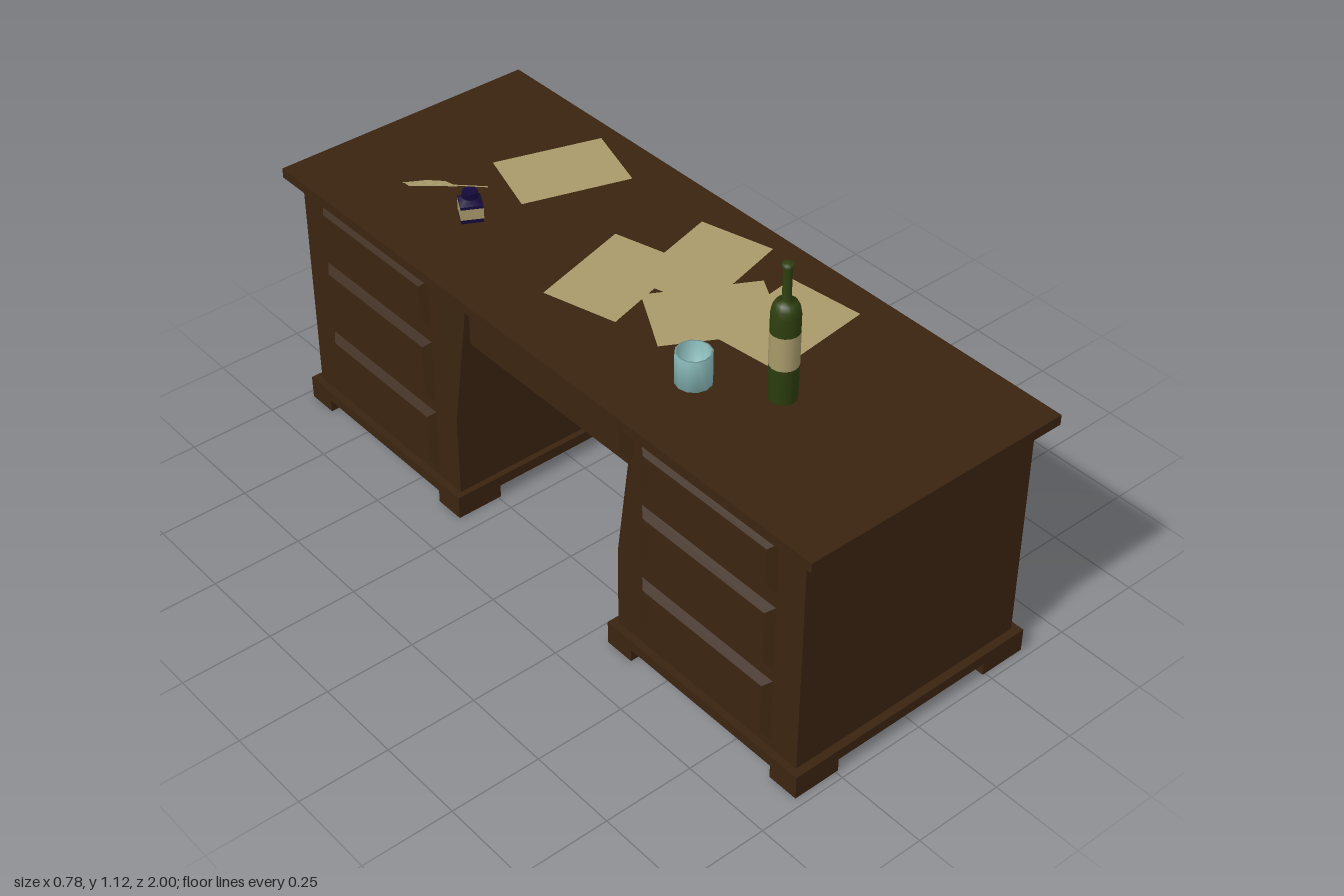
import * as THREE from 'three';
import { ConvexGeometry } from 'three/addons/geometries/ConvexGeometry.js';

const mat = (color, extra = {}) => new THREE.MeshStandardMaterial({ color, ...extra });
const wood = mat(0x3a2410), brass = mat(0xa89a6a), green = mat(0x2e3f0f);
const paperMat = mat(0xa89a6a, { side: THREE.DoubleSide });
const ink = mat(0x150a3a), wine = mat(0x5a0a3a);
const glassMat = mat(0x8fc0c0, { side: THREE.DoubleSide });
const TOP = 0.743;

function add(parent, name, geometry, material, x = 0, y = 0, z = 0) {
  const mesh = new THREE.Mesh(geometry, material);
  mesh.name = name;
  mesh.position.set(x, y, z);
  parent.add(mesh);
  return mesh;
}

// Box given by its minimum and maximum corners
function block(parent, name, material, [x0, y0, z0], [x1, y1, z1]) {
  const g = new THREE.BoxGeometry(x1 - x0, y1 - y0, z1 - z0);
  return add(parent, name, g, material, (x0 + x1) / 2, (y0 + y1) / 2, (z0 + z1) / 2);
}

// Raised panel with sloping edges, facing +x (s = 1) or -x (s = -1)
function drawerPanel(parent, s, x, y0, y1, z0, z1) {
  const h = y1 - y0, w = z1 - z0, depth = 0.016, inset = 0.02;
  const g = new THREE.BoxGeometry(depth, h, w).toNonIndexed();
  const p = g.attributes.position;
  for (let i = 0; i < p.count; i++) {
    if (p.getX(i) * s > 0) {
      p.setY(i, p.getY(i) * (1 - 2 * inset / h));
      p.setZ(i, p.getZ(i) * (1 - 2 * inset / w));
    }
  }
  g.computeVertexNormals();
  add(parent, 'drawerFront', g, wood, s * (x + depth / 2), (y0 + y1) / 2, (z0 + z1) / 2);
}

// Hooded pull, open underneath
function cupHandle(parent, y, z) {
  const handle = new THREE.Group();
  handle.name = 'cupHandle';
  const cheek = new THREE.Shape([[0, -0.024], [0, 0.024], [0.017, 0.014], [0.017, -0.016]]
    .map(([a, b]) => new THREE.Vector2(a, b)));
  for (const side of [-1, 1]) {
    const g = new THREE.ExtrudeGeometry(cheek, { depth: 0.008, bevelEnabled: false });
    add(handle, 'handleCheek', g, brass, 0, 0, side * 0.026 - 0.004);
  }
  const hood = new THREE.Shape([[0, 0.016], [0, 0.024], [0.017, 0.014], [0.017, -0.016], [0.012, -0.014], [0.012, 0.009]]
    .map(([a, b]) => new THREE.Vector2(a, b)));
  add(handle, 'handleHood', new THREE.ExtrudeGeometry(hood, { depth: 0.052, bevelEnabled: false }), brass, 0, 0, -0.026);
  handle.position.set(0.371, y, z);
  parent.add(handle);
}

// Bar pull on two short posts
function barHandle(parent, x, y, z, width) {
  block(parent, 'handleBar', brass, [x + 0.009, y - 0.01, z - width / 2], [x + 0.017, y + 0.01, z + width / 2]);
  for (const s of [-1, 1]) {
    const c = z + s * (width / 2 - 0.006);
    block(parent, 'handlePost', brass, [x - 0.002, y - 0.01, c - 0.006], [x + 0.01, y + 0.01, c + 0.006]);
  }
}

function pedestal(parent, side) {
  const g = new THREE.Group();
  g.name = side > 0 ? 'leftPedestal' : 'rightPedestal';
  // Cabinet with its knee-hole corners cut away above a tapering facet
  const points = [];
  for (const s of [-1, 1]) {
    for (const [x, y, z] of [
      [0.357, 0.065, 0.955], [0.357, 0.715, 0.955], [0.357, 0.065, 0.32], [0.357, 0.3, 0.32],
      [0.357, 0.5, 0.39], [0.302, 0.5, 0.32], [0.357, 0.715, 0.39], [0.302, 0.715, 0.32],
    ]) points.push(new THREE.Vector3(s * x, y, side * z));
  }
  add(g, 'cabinet', new ConvexGeometry(points), wood);

  // Plinth on four corner feet
  const zs = [side * 0.303, side * 0.977].sort((a, b) => a - b);
  block(g, 'plinth', wood, [-0.377, 0.037, zs[0]], [0.377, 0.067, zs[1]]);
  for (const x of [-0.377, 0.242])
    for (const z of [zs[0], zs[1] - 0.088])
      block(g, 'foot', wood, [x, 0, z], [x + 0.135, 0.037, z + 0.088]);

  // Drawer fronts on both long sides, pulls on one
  const dz = [side * 0.41, side * 0.866].sort((a, b) => a - b);
  for (const s of [-1, 1])
    for (const [y0, y1] of [[0.09, 0.277], [0.315, 0.502], [0.548, 0.69]])
      drawerPanel(g, s, 0.357, y0, y1, dz[0], dz[1]);
  cupHandle(g, 0.213, side * 0.64);
  cupHandle(g, 0.441, side * 0.64);
  barHandle(g, 0.371, 0.648, side * 0.64, 0.062);
  parent.add(g);
}

function lathe(points, segments) {
  return new THREE.LatheGeometry(points.map(([r, y]) => new THREE.Vector2(r, y)), segments);
}

export function createModel() {
  const model = new THREE.Group();
  model.name = 'writingDesk';

  // Desk
  block(model, 'deskTop', wood, [-0.388, 0.715, -1], [0.388, TOP, 1]);
  pedestal(model, 1);
  pedestal(model, -1);
  block(model, 'centreDrawerBox', wood, [-0.302, 0.522, -0.325], [0.302, 0.715, 0.325]);
  for (const s of [-1, 1]) drawerPanel(model, s, 0.302, 0.538, 0.692, -0.3, 0.3);
  barHandle(model, 0.316, 0.648, 0, 0.105);

  // Loose sheets: x, z, turn
  [[0.159, -0.521, -0.3], [-0.04, -0.066, 0.27], [0.159, 0.032, 0.26], [0.04, 0.198, -0.51], [0.143, 0.344, 0.12]]
    .forEach(([x, z, turn], i) => {
      const g = new THREE.PlaneGeometry(0.305, 0.212).rotateX(-Math.PI / 2);
      add(model, 'paperSheet', g, paperMat, x, TOP + 0.0015 + i * 0.0004, z).rotation.y = turn;
    });

  // Bottle
  const bottle = new THREE.Group();
  bottle.name = 'bottle';
  bottle.position.set(-0.048, TOP, 0.542);
  add(bottle, 'bottleBody', lathe([[0, 0.001], [0.036, 0.001], [0.036, 0.238], [0.033, 0.256], [0.026, 0.269], [0.011, 0.276],
    [0.011, 0.362], [0.014, 0.363], [0.014, 0.372], [0, 0.372]], 16), green);
  add(bottle, 'bottleLabel', new THREE.CylinderGeometry(0.0367, 0.0367, 0.092, 16, 1, true), paperMat, 0, 0.143, 0);
  model.add(bottle);

  // Drinking glass with a little wine
  const glass = new THREE.Group();
  glass.name = 'drinkingGlass';
  glass.position.set(-0.166, TOP, 0.368);
  add(glass, 'glassWall', lathe([[0, 0.001], [0.046, 0.001], [0.046, 0.086], [0.04, 0.086], [0.038, 0.008], [0, 0.008]], 12), glassMat);
  add(glass, 'wine', new THREE.CylinderGeometry(0.0385, 0.0385, 0.015, 12), wine, 0, 0.016, 0);
  model.add(glass);

  // Ink bottle
  const inkwell = new THREE.Group();
  inkwell.name = 'inkwell';
  inkwell.position.set(-0.15, TOP, -0.503);
  inkwell.rotation.y = -0.5;
  block(inkwell, 'inkBody', ink, [-0.029, 0.001, -0.029], [0.029, 0.05, 0.029]);
  block(inkwell, 'inkLabel', paperMat, [-0.0297, 0.012, -0.0297], [0.0297, 0.042, 0.0297]);
  add(inkwell, 'inkShoulder', new THREE.CylinderGeometry(0.018, 0.041, 0.012, 4).rotateY(Math.PI / 4), ink, 0, 0.056, 0);
  add(inkwell, 'inkCap', new THREE.CylinderGeometry(0.021, 0.021, 0.018, 8), ink, 0, 0.071, 0);
  model.add(inkwell);

  // Quill resting on the ink bottle
  const nib = new THREE.Vector3(-0.125, 0.845, -0.46), tip = new THREE.Vector3(-0.2, 0.757, -0.725);
  const quill = new THREE.TubeGeometry(new THREE.LineCurve3(nib, tip), 1, 0.0015, 5);
  add(model, 'quillShaft', quill, paperMat);
  const outline = [[-0.156, -0.545], [-0.145, -0.615], [-0.161, -0.675], [-0.198, -0.725], [-0.209, -0.685], [-0.182, -0.62]];
  const vane = new THREE.ShapeGeometry(new THREE.Shape(outline.map(([x, z]) => new THREE.Vector2(x, z))));
  const p = vane.attributes.position;
  for (let i = 0; i < p.count; i++) {
    const z = p.getY(i);
    p.setXYZ(i, p.getX(i), 0.845 + (z + 0.46) * 0.332, z);
  }
  vane.computeVertexNormals();
  add(model, 'quillVane', vane, paperMat);

  return model;
}
